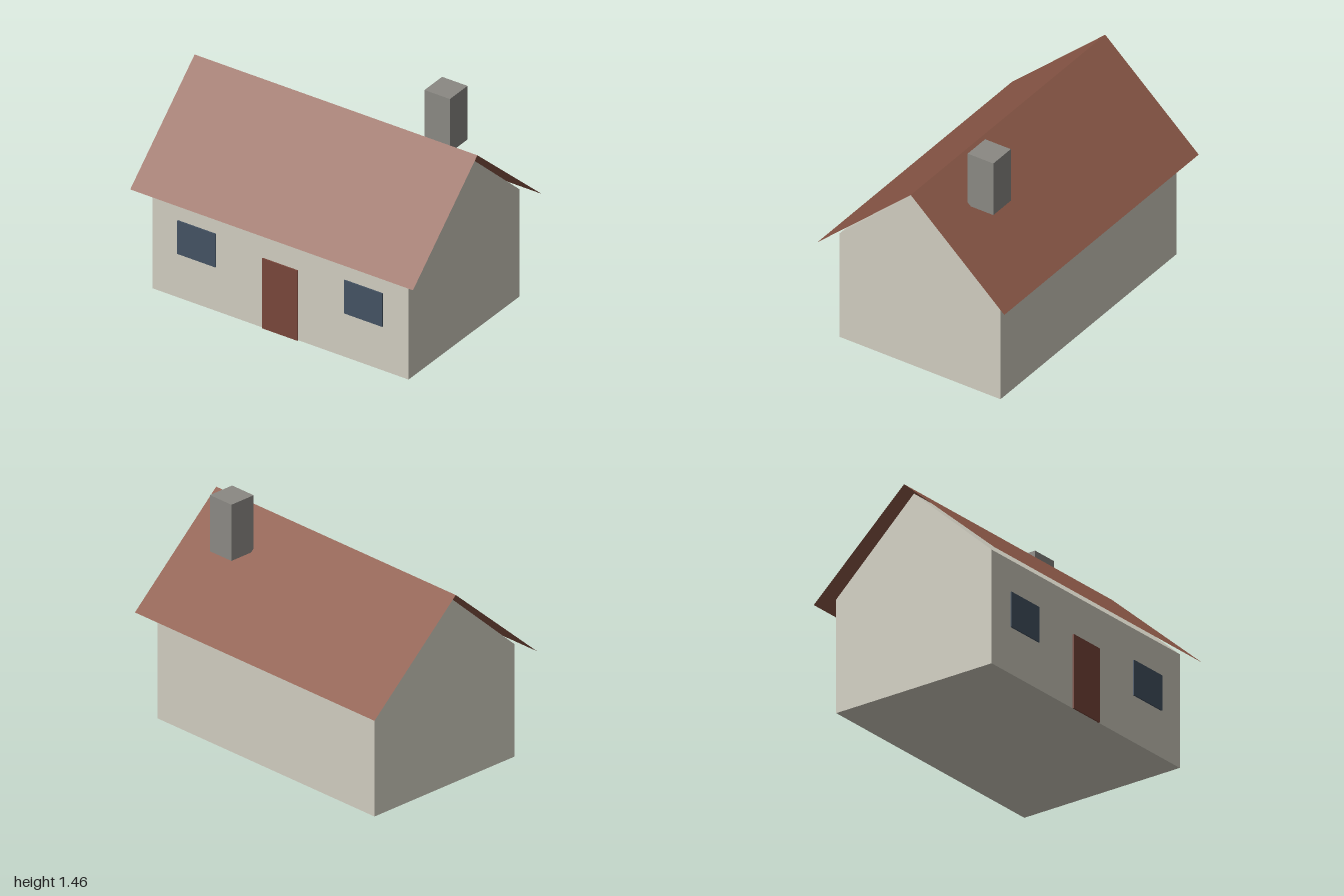
import * as THREE from 'three';

const RIDGE_Y = 1.275, EAVE_Y = 0.685, EAVE_Z = 0.66;   // roof
const WALL_Z = 0.568, WALL_TOP = 0.73, GABLE_Y = 1.25, HALF_LENGTH = 0.905;   // walls

function material(color, side = THREE.FrontSide) {
  return new THREE.MeshStandardMaterial({ color, side, flatShading: true });
}

export function createModel() {
  const house = new THREE.Group();
  house.name = 'house';

  const wallMat = material(0xcfccbf);
  const roofMat = material(0x8b5847, THREE.DoubleSide);
  const doorMat = material(0x78463a);
  const glassMat = material(0x445262);
  const chimneyMat = material(0x8a8883);

  function add(name, geometry, mat) {
    const mesh = new THREE.Mesh(geometry, mat);
    mesh.name = name;
    house.add(mesh);
    return mesh;
  }

  // Box given by its lower and upper corners
  function addBox(name, mat, [x0, y0, z0], [x1, y1, z1]) {
    const mesh = add(name, new THREE.BoxGeometry(x1 - x0, y1 - y0, z1 - z0), mat);
    mesh.position.set((x0 + x1) / 2, (y0 + y1) / 2, (z0 + z1) / 2);
    return mesh;
  }

  // Walls: gable outline extruded along the length of the house
  const gable = new THREE.Shape([
    new THREE.Vector2(-WALL_Z, 0),
    new THREE.Vector2(WALL_Z, 0),
    new THREE.Vector2(WALL_Z, WALL_TOP),
    new THREE.Vector2(0, GABLE_Y),
    new THREE.Vector2(-WALL_Z, WALL_TOP),
  ]);
  const walls = new THREE.ExtrudeGeometry(gable, { depth: 2 * HALF_LENGTH, bevelEnabled: false });
  walls.translate(0, 0, -HALF_LENGTH).rotateY(Math.PI / 2);
  add('walls', walls, wallMat);

  // Roof: two thin sheets meeting at the ridge
  const rise = RIDGE_Y - EAVE_Y;
  for (const [name, turn] of [['frontRoof', 0], ['backRoof', Math.PI]]) {
    const sheet = new THREE.PlaneGeometry(2, Math.hypot(rise, EAVE_Z));
    sheet.rotateX(-Math.atan2(EAVE_Z, rise));
    sheet.translate(0, (RIDGE_Y + EAVE_Y) / 2, EAVE_Z / 2);
    sheet.rotateY(turn);
    add(name, sheet, roofMat);
  }

  // Door and windows, slightly proud of the front wall
  addBox('door', doorMat, [-0.125, 0, 0.56], [0.125, 0.475, 0.577]);
  for (const [name, x] of [['leftWindow', 0.59], ['rightWindow', -0.59]]) {
    addBox(name, glassMat, [x - 0.135, 0.3, 0.56], [x + 0.135, 0.525, 0.577]);
  }

  // Chimney
  addBox('chimney', chimneyMat, [0.5, 1.093, -0.363], [0.68, 1.457, -0.182]);

  return house;
}
